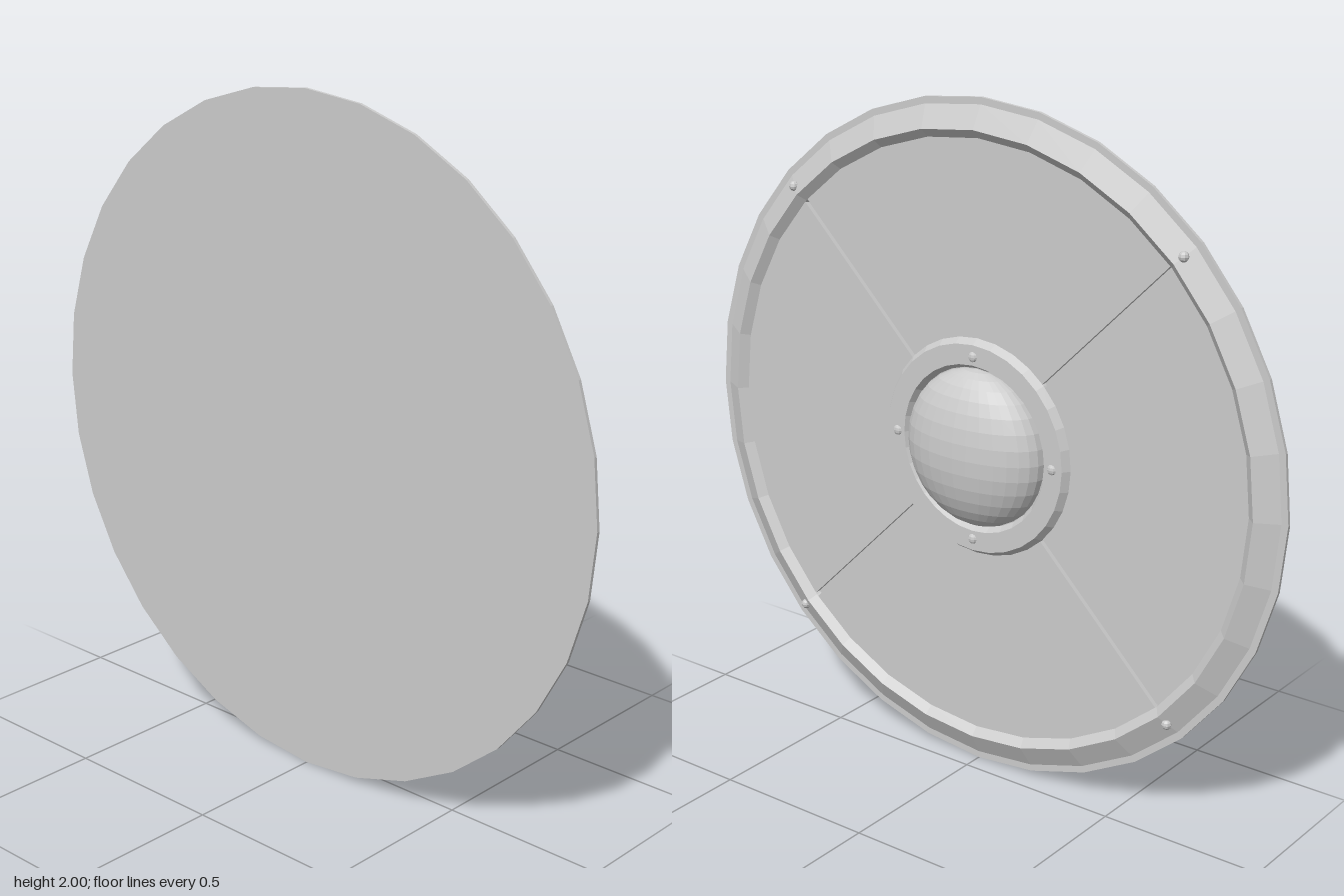
import * as THREE from 'three';

const SIDES = 32;
const BASE_X = -0.062, FACE_X = -0.048, TOP_X = -0.026;
const material = new THREE.MeshStandardMaterial({ color: 0xcccccc, flatShading: true });

function addMesh(parent, name, geometry) {
  const mesh = new THREE.Mesh(geometry, material);
  mesh.name = name;
  parent.add(mesh);
  return mesh;
}

// Turns a [radius, x] profile around the shield's x axis.
function turned(profile) {
  const points = profile.map(([r, x]) => new THREE.Vector2(r, x));
  return new THREE.LatheGeometry(points, SIDES).rotateZ(-Math.PI / 2);
}

// Quarter of the face, leaving a narrow straight gap along each diagonal.
function panelGeometry(inner, outer, gap) {
  const a = Math.PI / 4 - Math.asin(gap / 2 / outer);
  const b = Math.PI / 4 - Math.asin(gap / 2 / inner);
  const shape = new THREE.Shape();
  shape.absarc(0, 0, outer, -a, a, false);
  shape.absarc(0, 0, inner, b, -b, true);
  shape.closePath();
  return new THREE.ExtrudeGeometry(shape, {
    depth: FACE_X - BASE_X, bevelEnabled: false, curveSegments: 8,
  }).rotateY(Math.PI / 2);
}

// Four rivets spaced evenly on a circle.
function addRivets(parent, name, radius, x, start, height) {
  const geometry = new THREE.SphereGeometry(0.015, 8, 6).scale(height / 0.015, 1, 1);
  for (let i = 0; i < 4; i++) {
    const angle = start + i * Math.PI / 2;
    addMesh(parent, name, geometry)
      .position.set(x, radius * Math.sin(angle), radius * Math.cos(angle));
  }
}

export function createModel() {
  const model = new THREE.Group();
  model.name = 'roundShield';
  const shield = new THREE.Group();
  shield.name = 'shield';
  shield.position.y = 1;
  model.add(shield);

  // Flat back with a bevelled raised rim
  addMesh(shield, 'backAndRim', turned([
    [0, -0.07], [1, -0.07], [1, -0.06], [0.98, -0.06], [0.915, TOP_X],
    [0.89, FACE_X], [0.885, BASE_X], [0, BASE_X],
  ]));

  // Face panels separated by grooves
  const panel = panelGeometry(0.2, 0.895, 0.013);
  for (let i = 0; i < 4; i++) {
    const mesh = addMesh(shield, 'facePanel', panel);
    mesh.position.x = BASE_X;
    mesh.rotation.x = i * Math.PI / 2;
  }

  // Collar around the boss
  addMesh(shield, 'bossCollar', turned([
    [0.325, BASE_X], [0.325, FACE_X], [0.31, TOP_X], [0.25, TOP_X], [0.237, FACE_X],
  ]));

  // Shallow domed boss, front half only
  const dome = new THREE.SphereGeometry(0.235, 16, 16, Math.PI / 2, Math.PI);
  dome.scale(0.12 / 0.235, 1, 1);
  addMesh(shield, 'boss', dome).position.x = -0.05;

  // Rivets on the rim diagonals and around the collar
  addRivets(shield, 'rimRivet', 0.945, -0.04, Math.PI / 4, 0.015);
  addRivets(shield, 'collarRivet', 0.275, TOP_X, 0, 0.008);

  return model;
}
